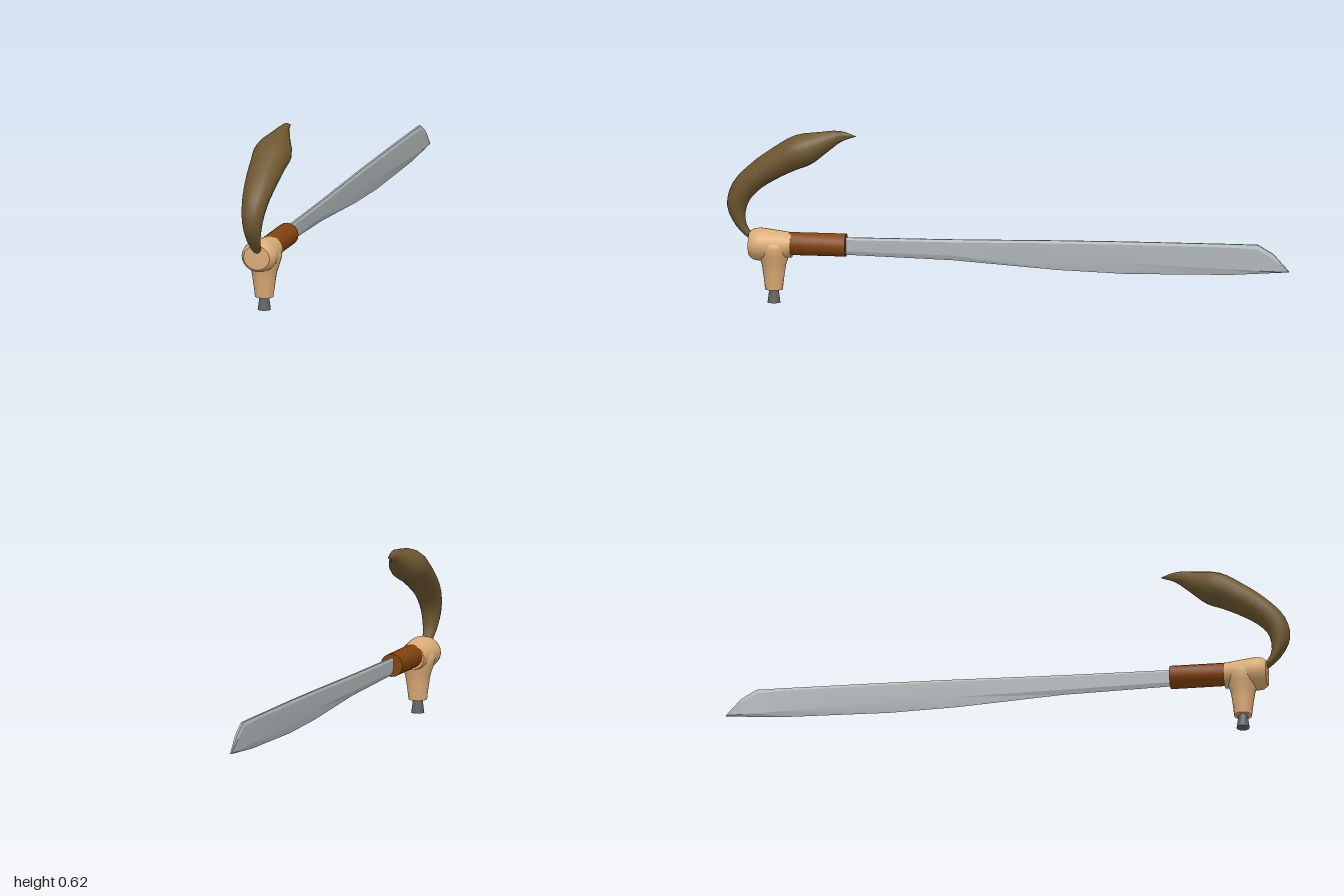
import * as THREE from 'three';
import { toCreasedNormals } from 'three/addons/utils/BufferGeometryUtils.js';

const mat = (name, color) => new THREE.MeshStandardMaterial({ name, color });

// Skin a list of equal-sized rings, capping both ends
function loft(rings) {
  const n = rings[0].length, last = (rings.length - 1) * n, idx = [];
  for (let j = 0; j < rings.length - 1; j++) {
    for (let i = 0; i < n; i++) {
      const k = (i + 1) % n, a = j * n, b = a + n;
      idx.push(a + i, a + k, b + k, a + i, b + k, b + i);
    }
  }
  for (let i = 1; i < n - 1; i++) {
    idx.push(0, i + 1, i, last, last + i, last + i + 1);
  }
  const g = new THREE.BufferGeometry();
  g.setAttribute('position', new THREE.Float32BufferAttribute(rings.flat(2), 3));
  g.setIndex(idx);
  return g;
}

const lathe = (pts, seg) =>
  new THREE.LatheGeometry(pts.map(p => new THREE.Vector2(...p)), seg);

export function createModel() {
  const group = new THREE.Group();
  const steel = mat('blade steel', 0xb2b8ba);
  const brown = mat('grip brown', 0x84430d);
  const wood = mat('pale wood', 0xdcac76);
  const plumeMat = mat('plume olive', 0x6e5730);
  const iron = mat('dark iron', 0x606264);

  const add = (name, geo, material, crease) => {
    const mesh = new THREE.Mesh(crease ? toCreasedNormals(geo, crease) : geo, material);
    mesh.name = name;
    group.add(mesh);
    return mesh;
  };

  // Blade: [z, spine y, shoulder y, bevel y, edge y]
  const blade = [
    [0.6, 0.238, 0.23, 0.19, 0.177],
    [0.195, 0.242, 0.233, 0.185, 0.168],
    [-0.18, 0.249, 0.24, 0.18, 0.144],
    [-0.42, 0.252, 0.242, 0.175, 0.137],
    [-0.79, 0.254, 0.243, 0.165, 0.144],
    [-0.89, 0.254, 0.238, 0.162, 0.151],
    [-0.945, 0.222, 0.207, 0.161, 0.155],
    [-1, 0.163, 0.162, 0.161, 0.159],
  ].map(([z, top, shoulder, bevel, edge], i) => {
    const s = i === 7 ? 0.4 : 1;
    return [
      [0.004 * s, top, z], [0.008 * s, shoulder, z], [0.006 * s, bevel, z], [0, edge, z],
      [-0.006 * s, bevel, z], [-0.008 * s, shoulder, z], [-0.004 * s, top, z],
    ];
  });
  add('blade', loft(blade), steel, 0.15);

  // Grip
  const grip = new THREE.CylinderGeometry(0.041, 0.041, 0.205, 16);
  grip.rotateX(Math.PI / 2).translate(0, 0.211, 0.6775);
  add('grip', grip, brown, 0.7);

  // Pommel head, turned about the grip axis
  const head = lathe([
    [0, 0.768], [0.044, 0.768], [0.047, 0.79], [0.051, 0.82], [0.056, 0.86],
    [0.058, 0.882], [0.055, 0.903], [0.044, 0.918], [0, 0.92],
  ], 24);
  head.rotateX(Math.PI / 2).scale(1.09, 1, 1).translate(0, 0.206, 0);
  add('pommelHead', head, wood, 0.8);

  // Pommel stem, flaring up into the head
  const stem = lathe([
    [0, 0.047], [0.033, 0.047], [0.036, 0.075], [0.041, 0.11], [0.045, 0.135],
    [0.055, 0.165], [0.063, 0.195], [0.06, 0.21], [0.045, 0.228], [0, 0.24],
  ], 24);
  stem.scale(1, 1, 0.95).translate(0, 0, 0.832);
  add('pommelStem', stem, wood, 0.8);

  // Peg under the stem
  const peg = new THREE.CylinderGeometry(0.016, 0.023, 0.052, 16);
  peg.translate(0, 0.026, 0.832);
  add('peg', peg, iron, 0.7);

  // Curved plume: [outer z, outer y, inner z, inner y, half width]
  const sections = [
    [0.908, 0.213, 0.89, 0.225, 0.013],
    [0.965, 0.268, 0.93, 0.275, 0.024],
    [0.999, 0.34, 0.927, 0.345, 0.036],
    [0.98, 0.42, 0.89, 0.395, 0.046],
    [0.917, 0.49, 0.826, 0.438, 0.056],
    [0.837, 0.55, 0.755, 0.473, 0.063],
    [0.757, 0.597, 0.7, 0.495, 0.067],
    [0.67, 0.611, 0.64, 0.542, 0.037],
    [0.596, 0.617, 0.59, 0.58, 0.014],
    [0.541, 0.6, 0.541, 0.598, 0.001],
  ];
  const outer = new THREE.CatmullRomCurve3(sections.map(s => new THREE.Vector3(s[4], s[1], s[0])));
  const inner = new THREE.CatmullRomCurve3(sections.map(s => new THREE.Vector3(s[4], s[3], s[2])));
  const rings = [];
  for (let j = 0; j <= 27; j++) {
    const o = outer.getPoint(j / 27), p = inner.getPoint(j / 27);
    rings.push(Array.from({ length: 16 }, (_, i) => {
      const a = i * Math.PI / 8, c = Math.cos(a);
      return [
        o.x * Math.sin(a),
        (o.y + p.y) / 2 + c * (o.y - p.y) / 2,
        (o.z + p.z) / 2 + c * (o.z - p.z) / 2,
      ];
    }));
  }
  add('plume', loft(rings), plumeMat, 0.9);

  return group;
}
